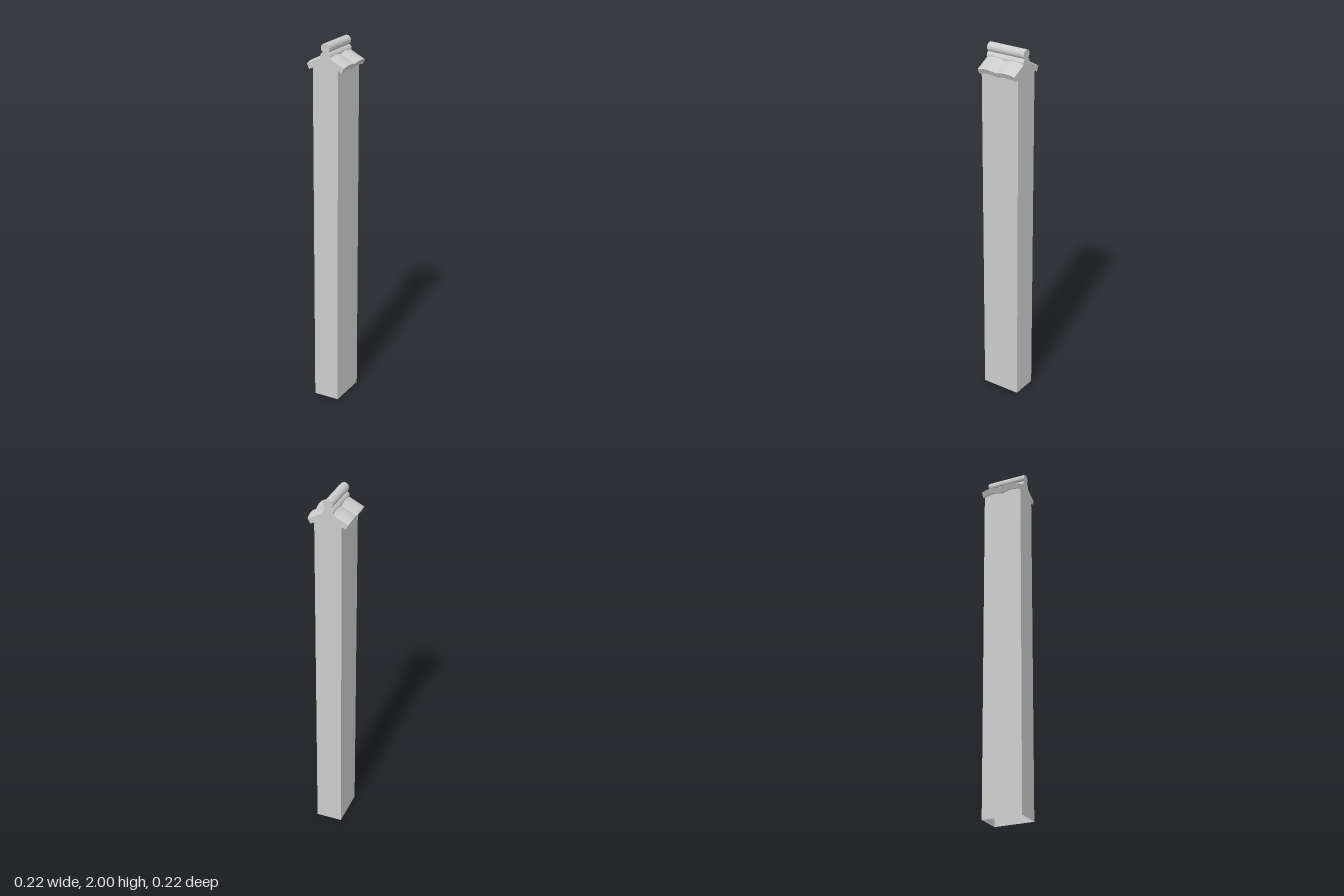
import * as THREE from 'three';
import { toCreasedNormals } from 'three/addons/utils/BufferGeometryUtils.js';

const HALF_DEPTH = 0.111;

function extrude(shape, depth) {
  return new THREE.ExtrudeGeometry(shape, { depth, bevelEnabled: false, curveSegments: 16 });
}

export function createModel() {
  const group = new THREE.Group();
  const grey = new THREE.MeshStandardMaterial({ color: 0xcccccc, side: THREE.DoubleSide });
  const add = (geometry, name) => {
    const mesh = new THREE.Mesh(geometry, grey);
    mesh.name = name;
    group.add(mesh);
    return mesh;
  };

  // Hollow post with gabled top: extruded outline, with the bottom face left open
  const outline = new THREE.Shape([
    [-0.072, 0], [0.072, 0], [0.072, 1.885], [0, 1.92], [-0.072, 1.885],
  ].map(([x, y]) => new THREE.Vector2(x, y)));
  const solid = extrude(outline, HALF_DEPTH * 2);
  const p = solid.attributes.position;
  const kept = [];
  for (let i = 0; i < p.count; i += 3) {
    if (Math.max(p.getY(i), p.getY(i + 1), p.getY(i + 2)) < 1e-6) continue;
    for (let k = i; k < i + 3; k++) kept.push(p.getX(k), p.getY(k), p.getZ(k) - HALF_DEPTH);
  }
  const post = new THREE.BufferGeometry();
  post.setAttribute('position', new THREE.Float32BufferAttribute(kept, 3));
  post.computeVertexNormals();
  add(post, 'post');

  // Roof tiles: two arched tiles side by side, swept down the slope
  const steps = 32, rise = 0.01, thickness = 0.03;
  const top = [], bottom = [];
  for (let i = 0; i <= steps; i++) {
    const u = (i / steps) * 2;
    const t = (u % 1) * 2 - 1;
    const arch = -rise * t * t;
    const z = (u - 1) * HALF_DEPTH;
    top.push(new THREE.Vector2(z, arch));
    bottom.push(new THREE.Vector2(z, arch - thickness));
  }
  const section = new THREE.Shape([...bottom, ...top.reverse()]);
  const angle = Math.atan(0.5);
  const normal = new THREE.Vector3(Math.sin(angle), Math.cos(angle), 0);
  const slope = new THREE.Vector3(Math.cos(angle), -Math.sin(angle), 0);
  const tiles = toCreasedNormals(extrude(section, 0.111 / Math.cos(angle)), 0.5);
  tiles.applyMatrix4(new THREE.Matrix4()
    .makeBasis(new THREE.Vector3(0, 0, -1), normal, slope).setPosition(0, 1.95, 0));
  add(tiles, 'leftRoofTiles');
  add(tiles, 'rightRoofTiles').rotation.y = Math.PI;

  // Ridge: rounded base narrowing to a neck under a round cap
  const r = 0.025, cy = 1.975, neck = 0.014;
  const a = Math.acos(neck / r);
  const ridge = new THREE.Shape();
  ridge.moveTo(-0.026, 1.91);
  ridge.lineTo(0.026, 1.91);
  ridge.lineTo(0.028, 1.932);
  ridge.quadraticCurveTo(0.028, 1.949, neck, cy - r * Math.sin(a));
  ridge.absarc(0, cy, r, -a, Math.PI + a, false);
  ridge.quadraticCurveTo(-0.028, 1.949, -0.028, 1.932);
  ridge.closePath();
  const ridgeGeometry = extrude(ridge, HALF_DEPTH * 2).translate(0, 0, -HALF_DEPTH);
  add(toCreasedNormals(ridgeGeometry, 0.6), 'roofRidge');

  return group;
}
